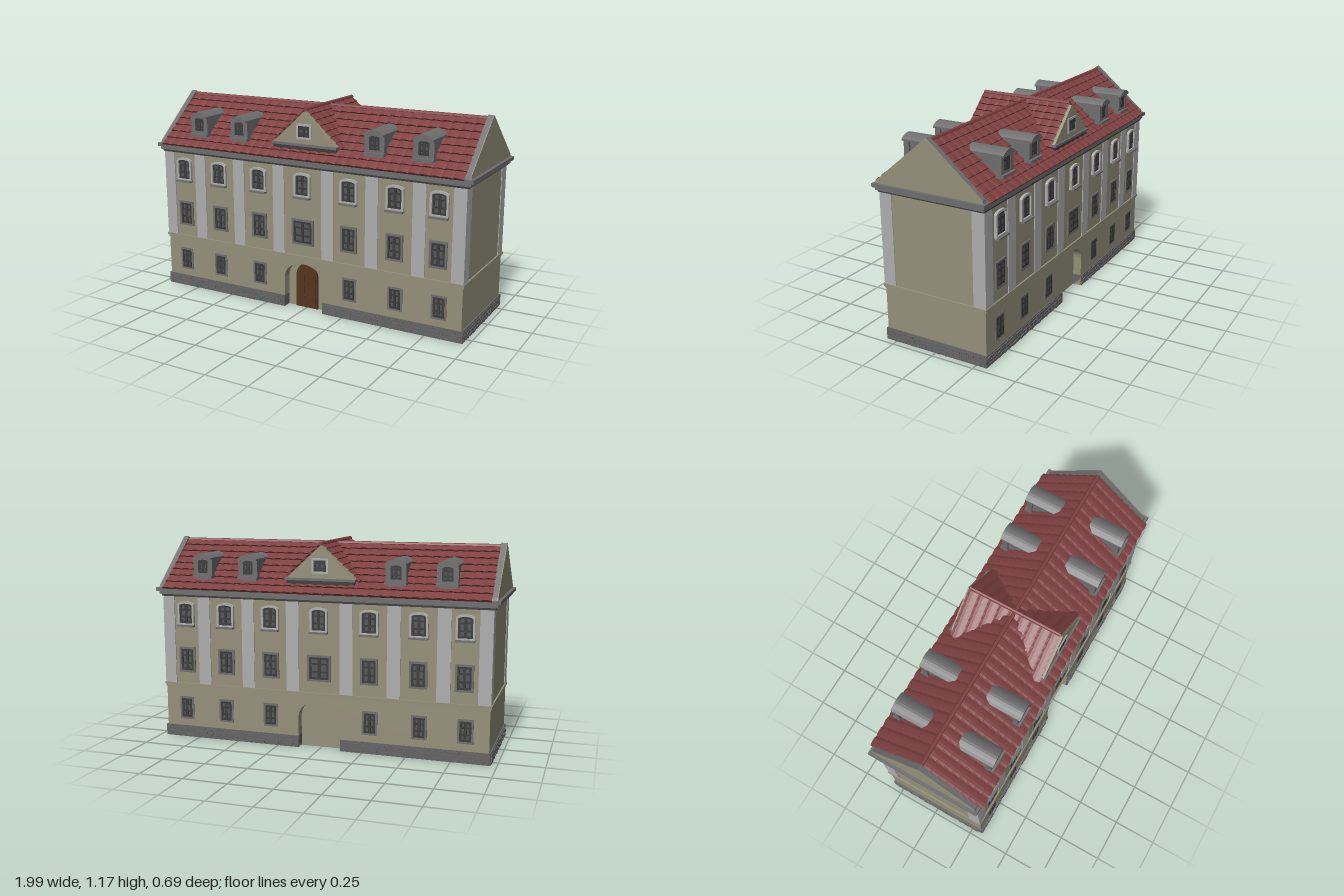
import * as THREE from 'three';
import { mergeGeometries } from 'three/addons/utils/BufferGeometryUtils.js';

const mat = (name, color, extra = {}) => Object.assign(new THREE.MeshStandardMaterial({ color, ...extra }), { name });
const M = {
  plaster: mat('plaster', 0x949079),
  pale: mat('pale trim', 0xaeaeae),
  grey: mat('grey trim', 0x6e6e6e),
  stone: mat('stone', 0x646464),
  dark: mat('dark sash', 0x3c3c3c),
  pane: mat('window pane', 0x565656),
  tile: mat('red tile', 0x7e4040, { side: THREE.DoubleSide, flatShading: true }),
  wood: mat('door wood', 0x55351f),
};

function mesh(parent, name, geo, material, x = 0, y = 0, z = 0) {
  const m = new THREE.Mesh(geo, material);
  m.name = name;
  m.position.set(x, y, z);
  parent.add(m);
  return m;
}
// Box given by its limits
const block = (p, name, m, x0, x1, y0, y1, z0, z1) =>
  mesh(p, name, new THREE.BoxGeometry(x1 - x0, y1 - y0, z1 - z0), m, (x0 + x1) / 2, (y0 + y1) / 2, (z0 + z1) / 2);
const extrude = (shape, depth) => new THREE.ExtrudeGeometry(shape, { depth, bevelEnabled: false, curveSegments: 8 });

// Opening outline standing on y = 0 with a curved head of the given rise
function arch(w, h, rise, inset = 0, Type = THREE.Shape) {
  const s = new Type(), a = w / 2 - inset, top = h - rise - (rise ? inset / 2 : inset);
  s.moveTo(-a, inset);
  s.lineTo(a, inset);
  s.lineTo(a, top);
  if (rise) s.absellipse(0, top, a, rise - inset / 2, 0, Math.PI, false);
  else s.lineTo(-a, top);
  s.lineTo(-a, inset);
  return s;
}

// Framed casement window; its back lies on z = 0
function makeWindow(parent, name, x, y, z, w, h, rise, trim, depth) {
  const g = new THREE.Group();
  g.name = name;
  g.position.set(x, y, z);
  parent.add(g);
  const ring = arch(w, h, rise);
  ring.holes.push(arch(w, h, rise, 0.012, THREE.Path));
  mesh(g, 'surround', extrude(ring, depth), trim);
  mesh(g, 'pane', extrude(arch(w, h, rise, 0.01), 0.003), M.pane);
  const sash = arch(w, h, rise, 0.012);
  sash.holes.push(arch(w, h, rise, 0.024, THREE.Path));
  mesh(g, 'sash', extrude(sash, 0.006), M.dark);
  block(g, 'mullion', M.dark, -0.008, 0.008, 0.015, h - 0.015, 0, 0.007);
  for (const t of [0.36, 0.66]) block(g, 'glazing bar', M.dark, -w / 2 + 0.015, w / 2 - 0.015, h * t - 0.005, h * t + 0.005, 0, 0.006);
  return g;
}

// Overlapping rows of rounded tiles: along = eave vector, up = eave to ridge
function tiledSlope(eave, along, up, rows, cols) {
  const n = along.clone().cross(up).normalize(), pos = [], idx = [], steps = cols * 4;
  const put = (u, t, lift) => pos.push(...eave.clone().addScaledVector(along, u).addScaledVector(up, t).addScaledVector(n, lift).toArray());
  for (let r = 0; r < rows; r++) {
    const base = pos.length / 3;
    for (let i = 0; i <= steps; i++) {
      const wave = [0, 0.005, 0.006, 0.004][i % 4], u = i / steps;
      put(u, r / rows, -0.003);
      put(u, r / rows, 0.007 + wave);
      put(u, (r + 1) / rows, wave * 0.5);
    }
    for (let i = 0; i < steps; i++) for (let k = 0; k < 2; k++) {
      const a = base + i * 3 + k, b = a + 3;
      idx.push(a, b, b + 1, a, b + 1, a + 1);
    }
  }
  const g = new THREE.BufferGeometry();
  g.setAttribute('position', new THREE.Float32BufferAttribute(pos, 3));
  g.setIndex(idx);
  g.computeVertexNormals();
  return g;
}

// Rough staggered stones laid along a run in x, facing +z
let seed = 7;
const rnd = () => (seed = (seed * 16807) % 2147483647) / 2147483647;
function stones(x0, x1, z) {
  const parts = [];
  for (let r = 0; r < 3; r++) for (let x = x0 + 0.026; x < x1 - 0.024; x += 0.042) {
    const s = new THREE.BoxGeometry(0.042, 0.014, 0.012);
    s.rotateZ((rnd() - 0.5) * 0.5);
    s.rotateY((rnd() - 0.5) * 0.2);
    s.translate(Math.min(x + (r % 2) * 0.012, x1 - 0.022), 0.013 + r * 0.0195, z + rnd() * 0.003);
    parts.push(s);
  }
  return mergeGeometries(parts);
}

function makeDormer(parent, x) {
  const g = new THREE.Group();
  g.name = 'dormer';
  g.position.x = x;
  parent.add(g);
  block(g, 'dormer body', M.grey, -0.045, 0.045, 0.93, 1.07, 0.05, 0.283);
  const roof = new THREE.Shape();
  roof.moveTo(-0.057, 1.055);
  roof.lineTo(0.057, 1.055);
  roof.lineTo(0.057, 1.065);
  roof.quadraticCurveTo(0, 1.113, -0.057, 1.065);
  mesh(g, 'dormer roof', extrude(roof, 0.215), M.grey, 0, 0, 0.09);
  makeWindow(g, 'dormer window', 0, 0.965, 0.283, 0.084, 0.1, 0.015, M.grey, 0.009);
  block(g, 'dormer sill', M.grey, -0.06, 0.06, 0.948, 0.964, 0.26, 0.306);
  for (const s of [-1, 1]) block(g, 'dormer post', M.grey, s * 0.05 - 0.008, s * 0.05 + 0.008, 0.96, 1.06, 0.26, 0.292);
}

// One long side, facing +z
function makeSide(name, hasDoor) {
  const g = new THREE.Group();
  g.name = name;
  const Z = 0.307;
  // wall skin with the arched portal recess
  const wall = new THREE.Shape();
  wall.moveTo(-0.957, 0);
  wall.lineTo(-0.125, 0);
  wall.lineTo(-0.125, 0.18);
  wall.absellipse(0, 0.18, 0.125, 0.095, Math.PI, 0, true);
  wall.lineTo(0.125, 0);
  wall.lineTo(0.957, 0);
  wall.lineTo(0.957, 0.86);
  wall.lineTo(-0.957, 0.86);
  mesh(g, 'facade wall', extrude(wall, 0.05), M.plaster, 0, 0, Z - 0.05);
  if (hasDoor) {
    mesh(g, 'door', extrude(arch(0.14, 0.268, 0.085), 0.012), M.wood, 0, 0, 0.257);
    for (const s of [-1, 1]) for (const y of [0.02, 0.085, 0.15])
      block(g, 'door panel', M.wood, s * 0.034 - 0.022, s * 0.034 + 0.022, y, y + 0.05, 0.265, 0.274);
  }
  // plinth either side of the portal
  for (const [a, b] of [[-0.966, -0.125], [0.125, 0.966]]) {
    block(g, 'plinth', M.stone, a, b, 0, 0.066, 0.257, 0.313);
    mesh(g, 'plinth stones', stones(a, b, 0.311), M.stone);
  }
  // pilasters
  for (const s of [-1, 1]) for (const [a, b] of [[0.89, 0.961], [0.665, 0.74], [0.39, 0.465], [0.12, 0.195]])
    block(g, 'pilaster', M.pale, Math.min(s * a, s * b), Math.max(s * a, s * b), 0.325, 0.845, 0.29, 0.312);
  // three rows of windows
  for (const x of [-0.815, -0.565, -0.29, 0, 0.29, 0.565, 0.815]) {
    makeWindow(g, 'upper window', x, 0.67, Z, 0.104, 0.14, 0.018, M.pale, 0.015);
    block(g, 'upper sill', M.grey, x - 0.052, x + 0.052, 0.664, 0.674, Z, 0.336);
    const w = x ? 0.1 : 0.14;
    makeWindow(g, 'middle window', x, 0.392, Z, w, 0.15, 0, M.grey, 0.008);
    if (x) makeWindow(g, 'lower window', x * 1.015, 0.108, Z, 0.088, 0.135, 0, M.grey, 0.004);
  }
  // tiled slope and dormers
  mesh(g, 'roof tiles', tiledSlope(new THREE.Vector3(-0.95, 0.885, 0.338), new THREE.Vector3(1.9, 0, 0),
    new THREE.Vector3(0, 0.264, -0.338), 8, 31), M.tile);
  for (const x of [-0.71, -0.43, 0.43, 0.71]) makeDormer(g, x);
  // cross gable
  mesh(g, 'cross gable tiles', tiledSlope(new THREE.Vector3(0.222, 0.958, 0.278), new THREE.Vector3(0, 0, -0.556),
    new THREE.Vector3(-0.222, 0.2, 0), 7, 9), M.tile);
  const tri = new THREE.Shape([[-0.2, 0.965], [0.2, 0.965], [0, 1.148]].map(p => new THREE.Vector2(...p)));
  mesh(g, 'cross gable wall', extrude(tri, 0.06), M.plaster, 0, 0, 0.228);
  block(g, 'cross gable base', M.dark, -0.198, 0.198, 0.92, 0.968, 0.2, 0.288);
  block(g, 'cross gable ledge', M.grey, -0.205, 0.205, 0.955, 0.968, 0.25, 0.298);
  makeWindow(g, 'gable window', 0, 0.995, 0.288, 0.095, 0.085, 0, M.pale, 0.006);
  return g;
}

// One gable end, facing +x
function makeEnd() {
  const g = new THREE.Group();
  g.name = 'gable end';
  for (const s of [-1, 1]) block(g, 'corner pilaster', M.pale, 0.94, 0.961, 0.325, 0.845, s * 0.275 - 0.036, s * 0.275 + 0.036);
  block(g, 'end plinth', M.stone, 0.93, 0.966, 0, 0.066, -0.313, 0.313);
  mesh(g, 'end stones', stones(-0.313, 0.313, 0.964), M.stone).rotation.y = Math.PI / 2;
  const tri = new THREE.Shape([[-0.318, 0.885], [0.318, 0.885], [0.312, 0.905], [0, 1.166], [-0.312, 0.905]].map(p => new THREE.Vector2(...p)));
  mesh(g, 'gable coping', extrude(tri, 0.03), M.grey, 0.945, 0, 0).rotation.y = Math.PI / 2;
  mesh(g, 'gable face', extrude(tri, 0.004), M.plaster, 0.975, 0, 0).rotation.y = Math.PI / 2;
  return g;
}

export function createModel() {
  const model = new THREE.Group();
  model.name = 'townhouse';
  block(model, 'core', M.plaster, -0.957, 0.957, 0, 0.87, -0.257, 0.257);
  // string course and stepped cornice
  for (const [name, m, hx, hz, y0, y1] of [
    ['string course', M.plaster, 0.966, 0.316, 0.312, 0.326],
    ['string course foot', M.plaster, 0.961, 0.311, 0.3, 0.312],
    ['cornice foot', M.dark, 0.968, 0.314, 0.838, 0.85],
    ['cornice', M.grey, 0.981, 0.321, 0.85, 0.868],
    ['cornice top', M.grey, 0.996, 0.332, 0.868, 0.888],
  ]) block(model, name, m, -hx, hx, y0, y1, -hz, hz);
  const front = makeSide('front', true), back = makeSide('back', false);
  back.rotation.y = Math.PI;
  const left = makeEnd(), right = makeEnd();
  right.rotation.y = Math.PI;
  model.add(front, back, left, right);
  // ridge caps
  for (const [len, y, turn] of [[1.9, 1.147, 0], [0.55, 1.158, Math.PI / 2]]) {
    const cap = new THREE.CylinderGeometry(0.012, 0.012, len, 8);
    cap.rotateZ(Math.PI / 2);
    mesh(model, 'ridge cap', cap, M.tile, 0, y, 0).rotation.y = turn;
  }
  return model;
}
